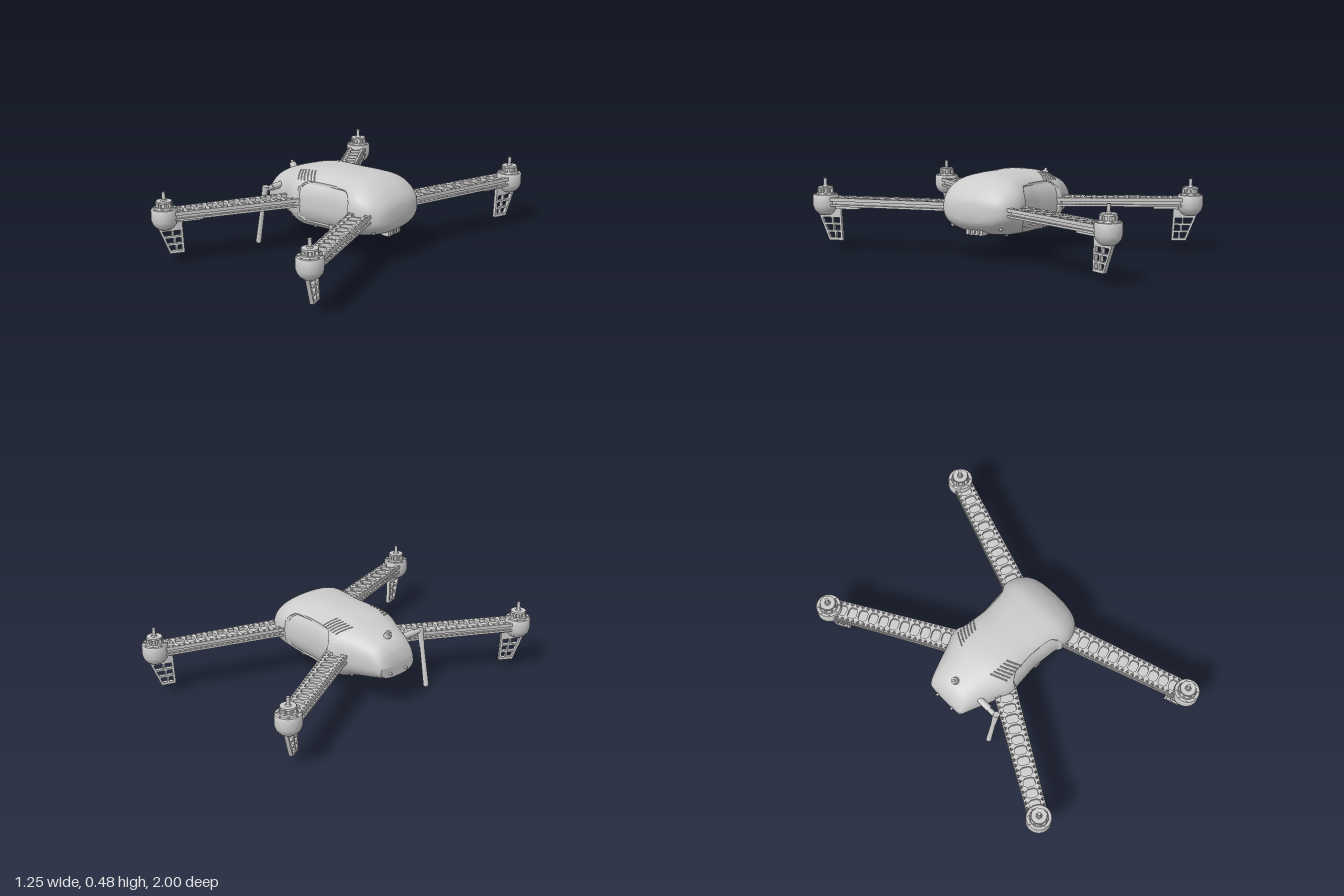
import * as THREE from 'three';
import { toCreasedNormals } from 'three/addons/utils/BufferGeometryUtils.js';

const grey = new THREE.MeshStandardMaterial({ color: 0xcccccc });

function add(parent, name, geo, x = 0, y = 0, z = 0) {
  const m = new THREE.Mesh(geo, grey);
  m.name = name;
  m.position.set(x, y, z);
  parent.add(m);
  return m;
}
const cyl = (r1, r2, h, n = 24) => new THREE.CylinderGeometry(r1, r2, h, n);

function rod(parent, name, a, b, r1, r2 = r1) {
  const p = new THREE.Vector3(...a), q = new THREE.Vector3(...b), d = q.clone().sub(p);
  const m = add(parent, name, cyl(r2, r1, d.length(), 20));
  m.position.copy(p).add(q).multiplyScalar(0.5);
  m.quaternion.setFromUnitVectors(new THREE.Vector3(0, 1, 0), d.normalize());
  return m;
}

// Hull stations along x: [x, top, bottom, half width]
const STATIONS = [
  [-0.442, 0.31, 0.197, 0.122], [-0.42, 0.358, 0.188, 0.135], [-0.37, 0.4, 0.172, 0.155],
  [-0.24, 0.445, 0.143, 0.205], [-0.15, 0.466, 0.113, 0.243], [-0.05, 0.476, 0.112, 0.236],
  [0.06, 0.477, 0.112, 0.226], [0.18, 0.477, 0.122, 0.236], [0.28, 0.466, 0.14, 0.248],
  [0.355, 0.428, 0.162, 0.228], [0.405, 0.382, 0.188, 0.185], [0.428, 0.345, 0.215, 0.13],
  [0.436, 0.31, 0.24, 0.07],
];
function station(u) {
  const n = STATIONS.length - 1, i = Math.min(Math.floor(u), n - 1), t = u - i;
  const at = (k) => STATIONS[Math.max(0, Math.min(n, k))];
  return [0, 1, 2, 3].map((c) => {
    const [a, b, d, e] = [at(i - 1)[c], at(i)[c], at(i + 1)[c], at(i + 2)[c]];
    const m1 = (d - a) / 2, m2 = (e - b) / 2, t2 = t * t, t3 = t2 * t;
    return (2 * t3 - 3 * t2 + 1) * b + (t3 - 2 * t2 + t) * m1 + (3 * t2 - 2 * t3) * d + (t3 - t2) * m2;
  });
}
// Point on the hull, with a shallow rounded panel sunk into each flank
function hullPoint(u, ang) {
  const [x, top, bot, w] = station(u);
  const mid = bot + (top - bot) * 0.49, p = 2 / 2.45;
  const c = Math.cos(ang), s = Math.sin(ang);
  const y = mid + (s > 0 ? top - mid : mid - bot) * Math.sign(s) * Math.abs(s) ** p;
  let z = w * Math.sign(c) * Math.abs(c) ** p;
  const r = 0.07, qx = Math.abs(x - 0.055) - 0.185 + r, qy = Math.abs(y - 0.295) - 0.122 + r;
  const dist = Math.hypot(Math.max(qx, 0), Math.max(qy, 0)) + Math.min(Math.max(qx, qy), 0) - r;
  z -= Math.sign(c) * 0.013 * THREE.MathUtils.smoothstep(-dist, 0, 0.01);
  return new THREE.Vector3(x, y, z);
}
function hullAt(x, ang) {
  let lo = 0, hi = STATIONS.length - 1;
  for (let i = 0; i < 24; i++) {
    const m = (lo + hi) / 2;
    if (station(m)[0] < x) lo = m; else hi = m;
  }
  return hullPoint(lo, ang);
}
function hullGeometry() {
  const rows = (STATIONS.length - 1) * 12, ring = 120, pos = [], idx = [];
  for (let i = 0; i <= rows; i++)
    for (let j = 0; j < ring; j++) pos.push(...hullPoint(i / 12, (j / ring) * Math.PI * 2).toArray());
  for (let i = 0; i < rows; i++)
    for (let j = 0; j < ring; j++) {
      const k = (j + 1) % ring, a = i * ring + j, c = i * ring + k;
      idx.push(a, a + ring, c, a + ring, c + ring, c);
    }
  const end = pos.length / 3, last = rows * ring;
  pos.push(-0.444, 0.255, 0, 0.438, 0.275, 0);
  for (let j = 0; j < ring; j++) {
    const k = (j + 1) % ring;
    idx.push(end, j, k, end + 1, last + k, last + j);
  }
  const g = new THREE.BufferGeometry();
  g.setAttribute('position', new THREE.Float32BufferAttribute(pos, 3));
  g.setIndex(idx);
  return toCreasedNormals(g, 0.6);
}

const poly = (pts, T = THREE.Path) => new T(pts.map(([x, y]) => new THREE.Vector2(x, y)));
const extrude = (shape, depth) => new THREE.ExtrudeGeometry(shape, { depth, bevelEnabled: false });

// Truss plate lying flat: row of octagonal pockets between zigzag edge rails
const ROOT = -0.8, TIP = -0.05, CELLS = 12;
const half = (s) => 0.067 + (s - ROOT) / (TIP - ROOT) * -0.011;
function trussGeometry(depth) {
  const shape = poly([[ROOT, -half(ROOT)], [TIP, -half(TIP)], [TIP, half(TIP)], [ROOT, half(ROOT)]], THREE.Shape);
  const step = (TIP - ROOT) / CELLS;
  for (let i = 0; i < CELLS; i++) {
    const s = ROOT + (i + 0.5) * step, h = half(s), a = step * 0.4, b = h * 0.56;
    shape.holes.push(poly([[s - a, -b * 0.55], [s - a * 0.6, -b], [s + a * 0.6, -b], [s + a, -b * 0.55],
      [s + a, b * 0.55], [s + a * 0.6, b], [s - a * 0.6, b], [s - a, b * 0.55]]));
    for (const side of [-1, 1]) {
      const v0 = side * h * 0.66, v1 = side * h * 0.89;
      shape.holes.push(poly([[s - 0.027, v1], [s - 0.005, v1], [s - 0.016, v0]]));
      shape.holes.push(poly([[s + 0.005, v1], [s + 0.027, v1], [s + 0.016, v0]]));
    }
  }
  return extrude(shape, depth).rotateX(-Math.PI / 2);
}
// Landing fin with three windows
function legGeometry() {
  const outer = (y) => -0.022 + (y - 0.06) * 0.4, inner = (y) => -0.105 + (y - 0.06) * 0.05;
  const quad = (y0, y1, m) => [[inner(y0) + m, y0], [outer(y0) - m, y0], [outer(y1) - m, y1], [inner(y1) + m, y1]];
  const shape = poly(quad(0.06, 0.25, 0), THREE.Shape);
  for (const y of [0.075, 0.118, 0.161]) {
    const q = quad(y, y + 0.032, 0.013), m = (q[0][0] + q[1][0]) / 2;
    shape.holes.push(poly([q[0], [m - 0.005, y], [m - 0.005, y + 0.032], q[3]]));
    shape.holes.push(poly([[m + 0.005, y], q[1], q[2], [m + 0.005, y + 0.032]]));
  }
  return extrude(shape, 0.022).translate(0, 0, -0.011);
}
const podProfile = [[0, 0.207], [0.036, 0.21], [0.052, 0.222], [0.066, 0.24], [0.073, 0.262],
  [0.073, 0.32], [0.069, 0.327], [0, 0.327]].map(([x, y]) => new THREE.Vector2(x, y));

function createArm(x, z, angle) {
  const arm = new THREE.Group();
  arm.name = 'arm';
  arm.position.set(x, 0, z);
  arm.rotation.y = angle;
  add(arm, 'upperTruss', trussGeometry(0.02), 0, 0.293, 0);
  add(arm, 'lowerTruss', trussGeometry(0.012), 0, 0.263, 0);
  add(arm, 'armCore', new THREE.BoxGeometry(TIP - ROOT, 0.022, 0.084), (ROOT + TIP) / 2, 0.284, 0);
  add(arm, 'cableCover', new THREE.BoxGeometry(0.14, 0.02, 0.06), -0.14, 0.256, 0);
  add(arm, 'motorPod', toCreasedNormals(new THREE.LatheGeometry(podProfile, 40), 0.6));
  add(arm, 'leg', legGeometry());
  // Motor
  add(arm, 'motorBase', cyl(0.05, 0.054, 0.012, 32), 0, 0.331, 0);
  add(arm, 'motorCore', cyl(0.03, 0.034, 0.036), 0, 0.348, 0);
  add(arm, 'motorCap', cyl(0.043, 0.045, 0.01, 32), 0, 0.366, 0);
  add(arm, 'motorHub', cyl(0.014, 0.018, 0.01), 0, 0.374, 0);
  add(arm, 'motorShaft', cyl(0.01, 0.01, 0.05, 16), 0, 0.395, 0);
  for (let i = 0; i < 8; i++) {
    const a = (i / 8) * Math.PI * 2;
    const fin = add(arm, 'motorFin', new THREE.BoxGeometry(0.016, 0.036, 0.01), 0.039 * Math.cos(a), 0.348, 0.039 * Math.sin(a));
    fin.rotation.y = -a;
    add(arm, 'podScrew', cyl(0.005, 0.005, 0.008, 8), 0.06 * Math.cos(a + 0.4), 0.328, 0.06 * Math.sin(a + 0.4));
  }
  return arm;
}

export function createModel() {
  const model = new THREE.Group();
  add(model, 'hull', hullGeometry());

  // Four arms, mirrored front to back
  for (const side of [1, -1]) {
    model.add(createArm(0.552, side * 0.925, Math.atan2(-side * 0.947, 0.321)));
    model.add(createArm(-0.553, side * 0.86, Math.atan2(-side * 0.866, -0.5)));
  }

  for (const side of [1, -1]) {
    // Roof louvres following the hull
    for (let i = 0; i < 6; i++) {
      const pts = [];
      for (let k = 0; k <= 6; k++) {
        const p = hullAt(-0.2 + i * 0.023 + k * 0.008, 1.12 - k * 0.075);
        pts.push(p.setZ(p.z * side));
      }
      add(model, 'roofLouvre', new THREE.TubeGeometry(new THREE.CatmullRomCurve3(pts), 10, 0.004, 6));
    }
    // Screws along the lower edge
    for (const x of [-0.23, -0.05, 0.17, 0.36]) {
      const p = hullAt(x, -0.85);
      const d = new THREE.Vector3(0, -0.7, 0.7).multiplyScalar(0.007);
      rod(model, 'hullScrew', [p.x, p.y - d.y, side * (p.z - d.z)], [p.x, p.y + d.y, side * (p.z + d.z)], 0.011);
    }
    rod(model, 'tailPin', [-0.43, 0.23, side * 0.058], [-0.46, 0.23, side * 0.058], 0.007);
  }

  // Underside vents
  for (let i = 0; i < 7; i++)
    add(model, 'bellyVent', new THREE.BoxGeometry(0.008, 0.008, 0.13), -0.13 + i * 0.024, 0.112, 0);

  // Nose port and its hood
  add(model, 'nosePort', new THREE.BoxGeometry(0.05, 0.05, 0.11), 0.36, 0.172, 0);
  for (const z of [-0.03, 0, 0.03])
    add(model, 'portRib', new THREE.BoxGeometry(0.012, 0.036, 0.012), 0.388, 0.172, z);

  // Side latch
  add(model, 'latch', new THREE.BoxGeometry(0.045, 0.028, 0.03), 0.097, 0.176, 0.185);
  add(model, 'latchFoot', new THREE.BoxGeometry(0.035, 0.03, 0.03), 0.093, 0.155, 0.17);

  // Roof button
  add(model, 'roofButton', cyl(0.018, 0.022, 0.03), -0.362, 0.417, 0).rotation.z = 0.4;
  add(model, 'buttonTip', cyl(0.009, 0.009, 0.02, 16), -0.369, 0.434, 0).rotation.z = 0.4;

  // Hinged antenna
  const antenna = new THREE.Group();
  antenna.name = 'antenna';
  model.add(antenna);
  rod(antenna, 'antennaMount', [-0.322, 0.34, 0.13], [-0.322, 0.34, 0.235], 0.019);
  rod(antenna, 'antennaHinge', [-0.324, 0.34, 0.23], [-0.324, 0.34, 0.3], 0.014);
  rod(antenna, 'antennaSleeve', [-0.343, 0.24, 0.288], [-0.32, 0.36, 0.288], 0.015, 0.019);
  rod(antenna, 'antennaRod', [-0.383, 0.016, 0.288], [-0.34, 0.26, 0.288], 0.016, 0.013);
  add(antenna, 'antennaTip', new THREE.SphereGeometry(0.016, 20, 12), -0.383, 0.016, 0.288);
  return model;
}
